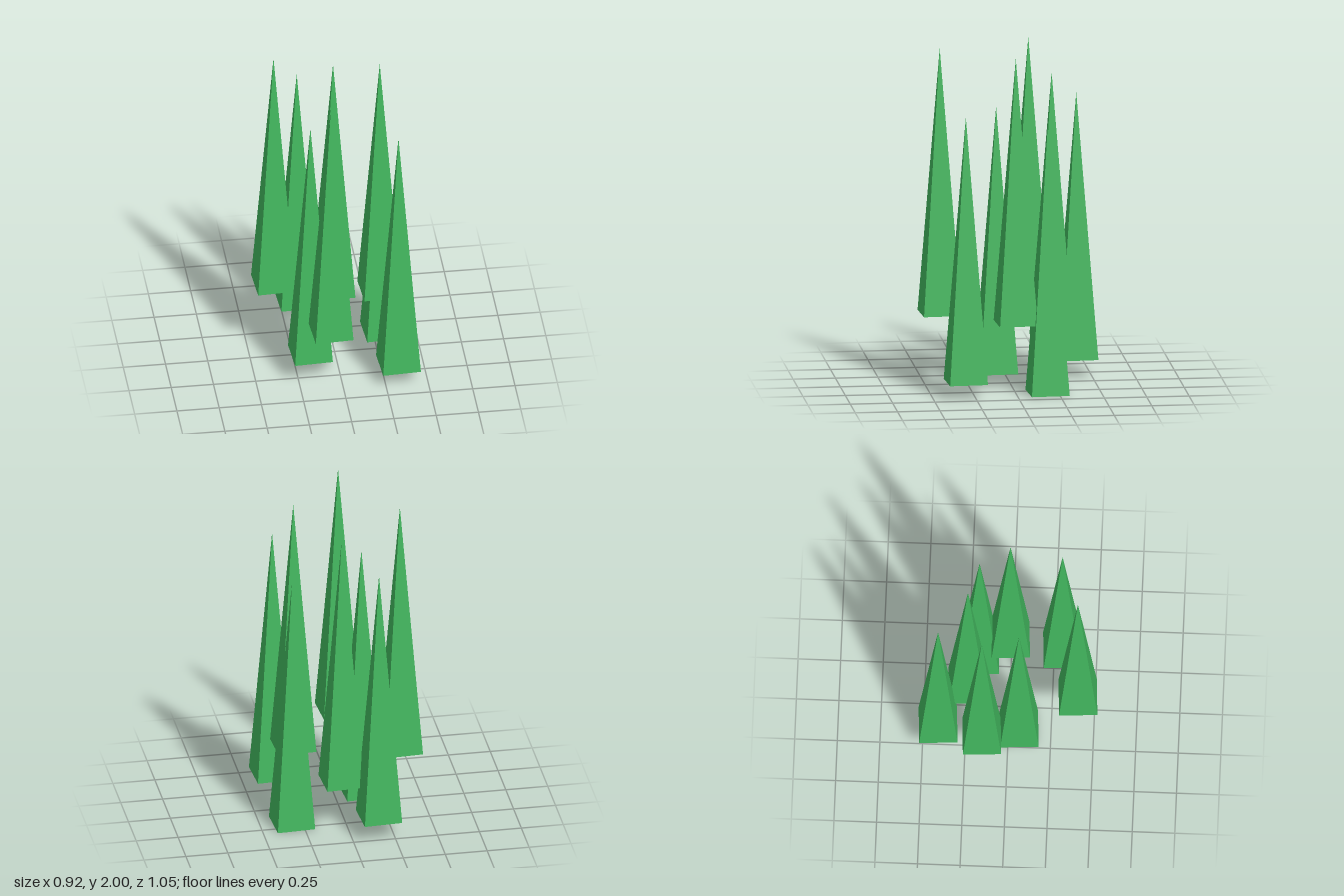
import * as THREE from 'three';

const HEIGHT = 1.585;
const SIDE = 0.225;
const TWIST = THREE.MathUtils.degToRad(3.1);

// Each spike: x, z and height of its base
const SPIKES = [
  [-0.168, -0.412, 0.11],
  [0.024, -0.244, 0.275],
  [0.309, -0.187, 0],
  [-0.341, -0.149, 0.413],
  [0.268, -0.004, 0.413],
  [-0.151, 0.063, 0.04],
  [-0.075, 0.405, 0.413],
  [0.338, 0.299, 0.083],
];

export function createModel() {
  const group = new THREE.Group();
  group.name = 'grassSpikes';
  const material = new THREE.MeshStandardMaterial({ color: 0x43b95f, flatShading: true });

  // Tall square pyramid standing on its base, with a slight turn
  const geometry = new THREE.ConeGeometry(SIDE / Math.SQRT2, HEIGHT, 4, 1);
  geometry.rotateY(Math.PI / 4 + TWIST);
  geometry.translate(0, HEIGHT / 2, 0);

  SPIKES.forEach(([x, z, base], i) => {
    const spike = new THREE.Mesh(geometry, material);
    spike.name = `spike${i + 1}`;
    spike.position.set(x, base, z);
    group.add(spike);
  });
  return group;
}
